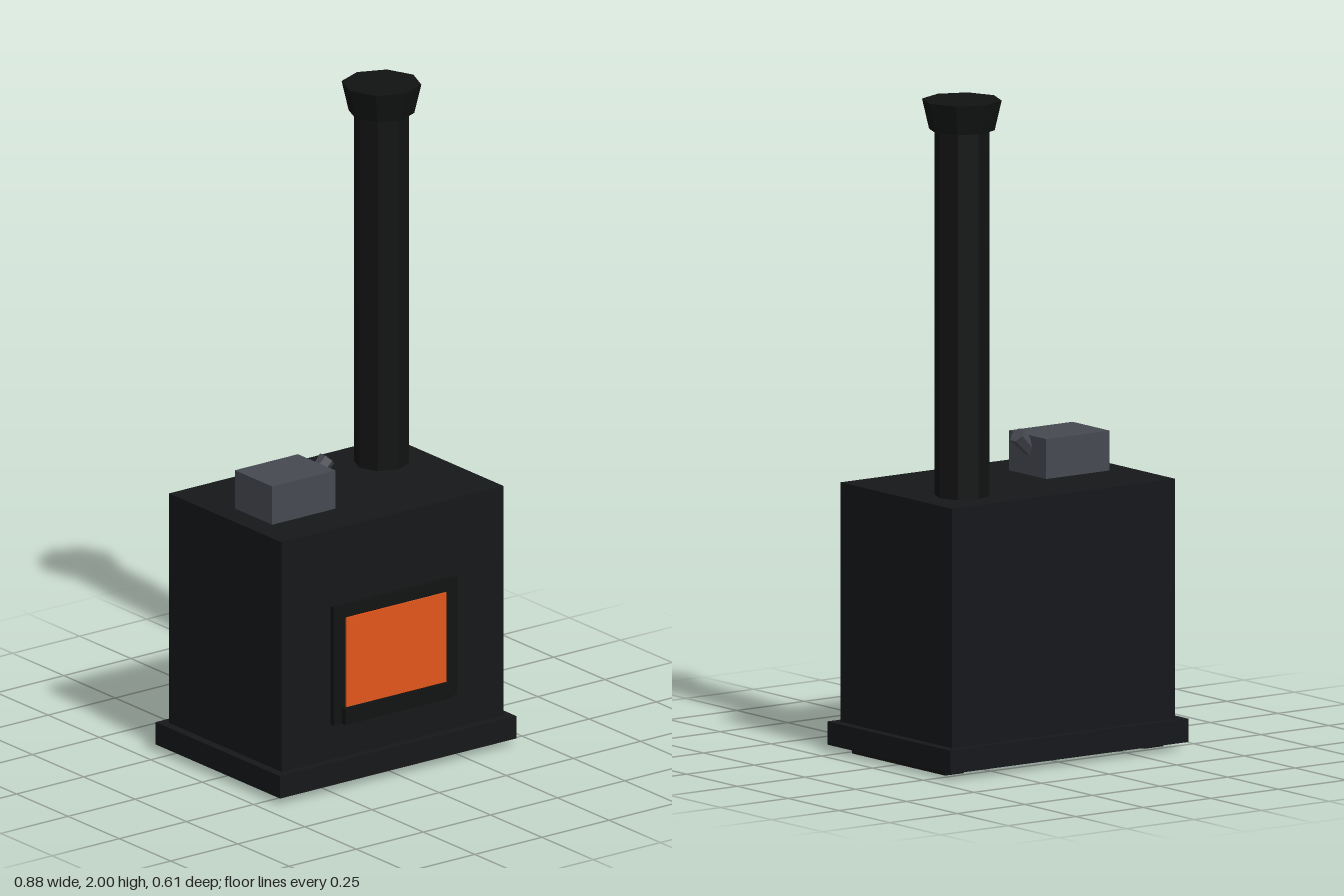
import * as THREE from 'three';

const mat = (color) => new THREE.MeshStandardMaterial({ color, flatShading: true });

export function createModel() {
  const stove = new THREE.Group();
  stove.name = 'woodStove';
  const iron = mat(0x15171a);
  const darkIron = mat(0x111312);
  const steel = mat(0x464951);
  const glow = mat(0xe2561b);

  const add = (name, geometry, material, x, y, z) => {
    const mesh = new THREE.Mesh(geometry, material);
    mesh.name = name;
    mesh.position.set(x, y, z);
    stove.add(mesh);
    return mesh;
  };
  // Box given by its lower and upper corner
  const box = (name, material, [x0, y0, z0], [x1, y1, z1]) =>
    add(name, new THREE.BoxGeometry(x1 - x0, y1 - y0, z1 - z0), material,
      (x0 + x1) / 2, (y0 + y1) / 2, (z0 + z1) / 2);

  // Firebox on its base slab
  box('base', iron, [-0.44, 0.02, -0.305], [0.44, 0.09, 0.301]);
  box('body', iron, [-0.413, 0.09, -0.275], [0.413, 0.81, 0.273]);

  // Skids under the base
  for (const side of [-1, 1]) {
    add(side > 0 ? 'leftSkid' : 'rightSkid', new THREE.BoxGeometry(0.07, 0.02, 0.458),
      darkIron, side * 0.368, 0.01, 0);
  }

  // Door with glowing window and sill
  box('doorFrame', darkIron, [-0.23, 0.2, 0.265], [0.23, 0.57, 0.288]);
  box('window', glow, [-0.186, 0.25, 0.28], [0.186, 0.53, 0.293]);
  box('doorSill', darkIron, [-0.2, 0.2, 0.28], [0.2, 0.25, 0.305]);

  // Eight-sided chimney with flared cap
  add('chimney', new THREE.CylinderGeometry(0.082, 0.082, 1.15, 8), darkIron, 0.255, 1.375, -0.114);
  add('chimneyCap', new THREE.CylinderGeometry(0.119, 0.098, 0.09, 8), darkIron, 0.255, 1.955, -0.114);

  // Kettle with slanted spout
  box('kettle', steel, [-0.34, 0.81, -0.05], [-0.105, 0.93, 0.132]);
  const spout = add('spout', new THREE.CylinderGeometry(0.026, 0.02, 0.09, 6), steel,
    -0.098, 0.902, 0.041);
  spout.rotation.z = -Math.PI / 4;

  return stove;
}
